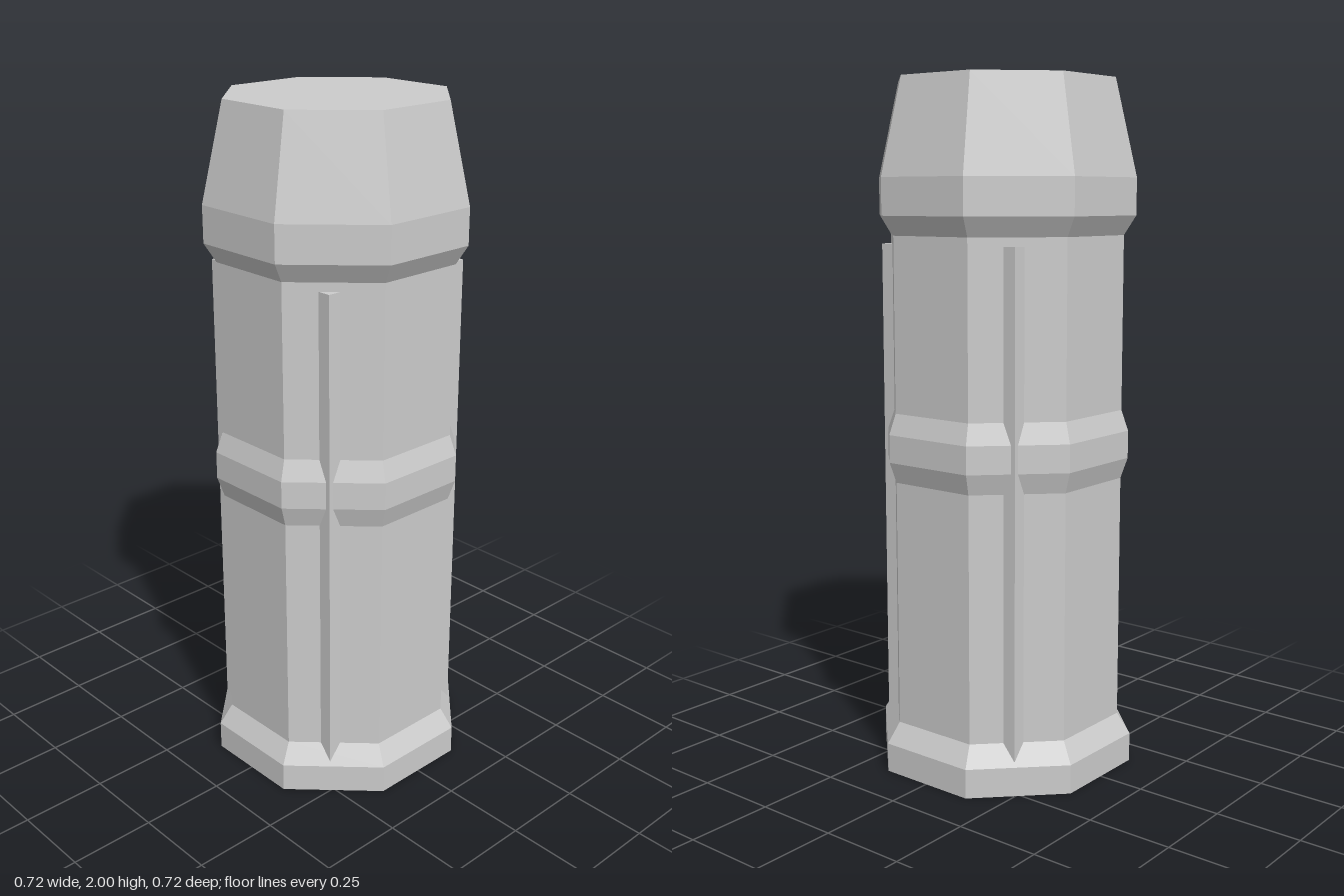
import * as THREE from 'three';

export function createModel() {
  const group = new THREE.Group();
  const material = new THREE.MeshStandardMaterial({ color: 0xcccccc, flatShading: true });

  // Octagonal post: each profile point is [distance from axis to flat side, height]
  const profile = [
    [0, 0], [0.361, 0], [0.361, 0.085], [0.325, 0.145],   // base
    [0.325, 0.865], [0.344, 0.925], [0.344, 1.005], [0.325, 1.065], // middle band
    [0.325, 1.565], [0.357, 1.62], [0.357, 1.725],        // collar
    [0.298, 2], [0, 2],                                   // tapered cap
  ];
  const toCorner = 1 / Math.cos(Math.PI / 8);
  const points = profile.map(([r, y]) => new THREE.Vector2(r * toCorner, y));
  const post = new THREE.Mesh(new THREE.LatheGeometry(points, 8, Math.PI / 8), material);
  post.name = 'post';
  group.add(post);

  // Square rods half sunk into the four diagonal sides
  const bottom = 0.06, top = 1.54, width = 0.08;
  const rodGeometry = new THREE.BoxGeometry(width, top - bottom, width);
  for (const sx of [-1, 1]) {
    for (const sz of [-1, 1]) {
      const rod = new THREE.Mesh(rodGeometry, material);
      rod.name = (sz > 0 ? 'front' : 'back') + (sx > 0 ? 'Left' : 'Right') + 'Rod';
      rod.position.set(sx * (0.243 - width / 2), (bottom + top) / 2, sz * (0.257 - width / 2));
      group.add(rod);
    }
  }
  return group;
}
